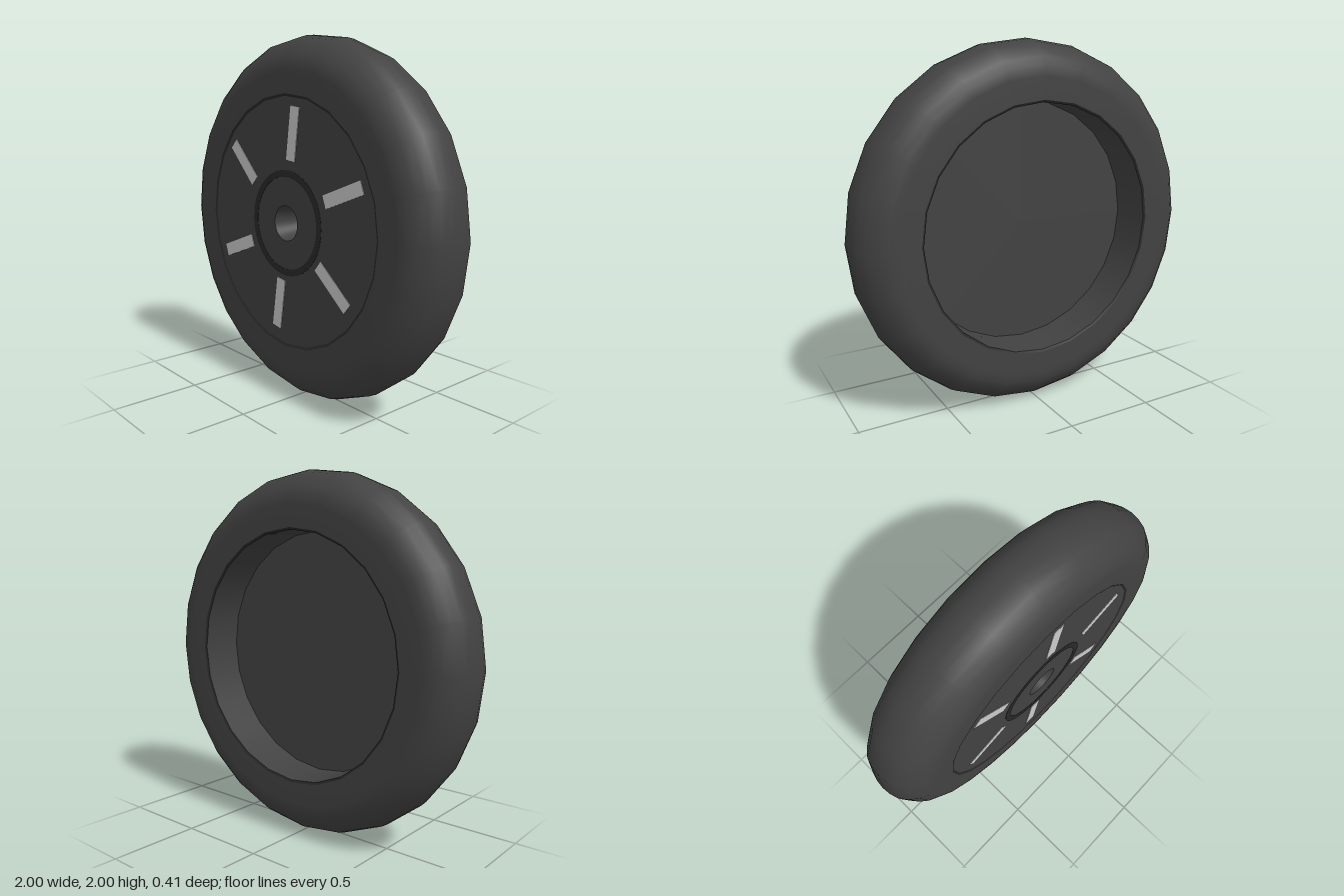
import * as THREE from 'three';

const DARK = 0x424242, BLACK = 0x292929, GREY = 0xcccccc;

export function createModel() {
  const wheel = new THREE.Group();
  wheel.name = 'wheel';
  const materials = {};
  const material = (color) => (materials[color] ??= new THREE.MeshStandardMaterial({ color, side: THREE.DoubleSide }));

  // Turns a [radius, z] profile around the axle
  const turned = (name, color, profile, sides = 24) => {
    const points = profile.map(([r, z]) => new THREE.Vector2(r, z));
    const geometry = new THREE.LatheGeometry(points, sides).rotateX(Math.PI / 2);
    const mesh = new THREE.Mesh(geometry, material(color));
    mesh.name = name;
    mesh.position.y = 1;
    wheel.add(mesh);
  };

  // Tyre: the half profile is mirrored front to back
  const half = [[0.995, 0.05], [0.98, 0.1], [0.947, 0.142], [0.905, 0.178], [0.86, 0.2], [0.81, 0.206], [0.69, 0.206]];
  const back = half.map(([r, z]) => [r, -z]).reverse();
  turned('tyre', DARK, [...back, [1, 0], ...half]);

  // Hollow back of the rim
  turned('backLip', BLACK, [[0.678, -0.2], [0.69, -0.206]]);
  turned('backWall', DARK, [[0.678, 0.04], [0.678, -0.2]]);
  turned('backPlate', DARK, [[0, 0.04], [0.678, 0.04]]);

  // Front of the rim
  turned('frontSeam', BLACK, [[0.69, 0.206], [0.676, 0.2]]);
  turned('frontPlate', DARK, [[0.676, 0.2], [0.27, 0.2]]);
  turned('hubRing', BLACK, [[0.288, 0.2], [0.288, 0.203], [0.252, 0.203], [0.252, 0.2]], 48);

  // Hub with a tapered blind bore
  turned('hubFace', DARK, [[0.265, 0.2], [0.096, 0.2]], 48);
  turned('hubBore', DARK, [[0.096, 0.2], [0.07, 0.05]], 48);
  turned('boreFloor', DARK, [[0.07, 0.05], [0, 0.05]], 48);

  // Six slightly uneven spoke marks: x, y from the axle, angle in degrees
  const marks = [
    [0.063, 0.48, 82], [0.445, 0.195, 20], [0.372, -0.28, -39.5],
    [-0.063, -0.455, -99], [-0.437, -0.185, 200], [-0.376, 0.31, 134.5],
  ];
  const bar = new THREE.BoxGeometry(0.285, 0.071, 0.02);
  marks.forEach(([x, y, angle], i) => {
    const mesh = new THREE.Mesh(bar, material(GREY));
    mesh.name = `spokeMark${i + 1}`;
    mesh.position.set(x, 1 + y, 0.193);
    mesh.rotation.z = THREE.MathUtils.degToRad(angle);
    wheel.add(mesh);
  });

  return wheel;
}
